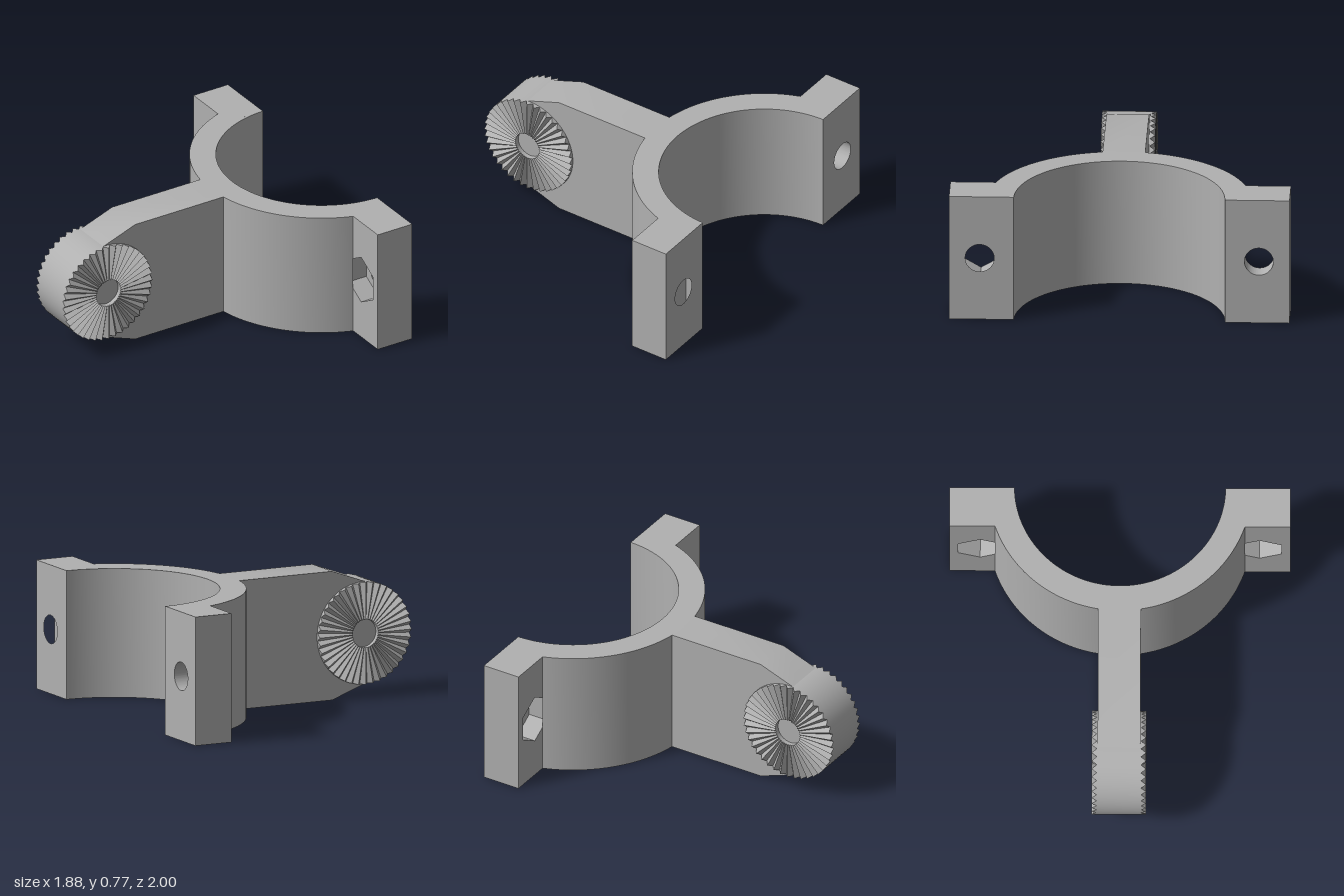
import * as THREE from 'three';
import { toCreasedNormals } from 'three/addons/utils/BufferGeometryUtils.js';

const HEIGHT = 0.77, MID = HEIGHT / 2;
const HUB_X = -0.635, HUB_R = 0.305, HOLE_R = 0.085;

const extrude = (shape, depth) =>
  toCreasedNormals(new THREE.ExtrudeGeometry(shape, { depth, bevelEnabled: false, curveSegments: 48 }), 0.4);

const polygon = (pts) => new THREE.Shape(pts.map(([x, y]) => new THREE.Vector2(x, y)));

const roundHole = (x, y, r) => new THREE.Path().absarc(x, y, r, 0, Math.PI * 2, true);

// Half ring seen from above, including the inner corners beside the flanges
function ringGeometry() {
  const cx = 0.95, rOut = 0.775, rIn = 0.62;
  const a = Math.acos(-0.25 / rOut), b = Math.acos(-0.01 / rIn);
  const s = new THREE.Shape();
  s.absarc(cx, 0, rOut, a, Math.PI * 2 - a, false);
  s.lineTo(0.70, -0.62);
  s.lineTo(0.94, -0.62);
  s.absarc(cx, 0, rIn, Math.PI * 2 - b, b, true);
  s.lineTo(0.70, 0.62);
  return extrude(s, HEIGHT).rotateX(-Math.PI / 2);
}

// Slab of a flange lying across x, with a bolt hole or a hexagonal nut pocket
function flangeGeometry(side, depth, hex) {
  const u = side * 0.82;
  const s = polygon([[side * 0.62, 0], [side, 0], [side, HEIGHT], [side * 0.62, HEIGHT]]);
  if (hex) {
    const pts = [];
    for (let i = 0; i < 6; i++) {
      const t = Math.PI / 2 + (i * Math.PI) / 3;
      pts.push(new THREE.Vector2(u + 0.15 * Math.cos(t), MID + 0.15 * Math.sin(t)));
    }
    s.holes.push(new THREE.Path(pts));
  } else {
    s.holes.push(roundHole(u, MID, HOLE_R));
  }
  return extrude(s, depth).rotateY(Math.PI / 2);
}

// Bored disc with V-shaped radial teeth on both faces
function toothedHubGeometry(teeth) {
  const n = teeth * 2, pos = [];
  const point = (i, r, face) => {
    const t = (i / n) * Math.PI * 2;
    const z = 0.16 - (i % 2 ? 0.03 * r / HUB_R : 0);
    return [r * Math.cos(t), r * Math.sin(t), face * z];
  };
  const quad = (a, b, c, d) => pos.push(...a, ...b, ...c, ...a, ...c, ...d);
  for (let i = 0; i < n; i++) {
    const [i0, i1, o0, o1] = [[i, HOLE_R], [i + 1, HOLE_R], [i, HUB_R], [i + 1, HUB_R]];
    const f = (p) => point(...p, 1), k = (p) => point(...p, -1);
    quad(f(i0), f(o0), f(o1), f(i1)); // front teeth
    quad(k(i0), k(i1), k(o1), k(o0)); // back teeth
    quad(k(o0), k(o1), f(o1), f(o0)); // rim
    quad(f(i0), f(i1), k(i1), k(i0)); // bore
  }
  const g = new THREE.BufferGeometry();
  g.setAttribute('position', new THREE.Float32BufferAttribute(pos, 3));
  return toCreasedNormals(g, 0.4);
}

export function createModel() {
  const model = new THREE.Group();
  model.name = 'toothedClampBracket';
  const grey = new THREE.MeshStandardMaterial({ color: 0xb0b0b0 });
  grey.name = 'grey';

  const add = (name, geometry, x = 0, y = 0, z = 0, parent = model) => {
    const mesh = new THREE.Mesh(geometry, grey);
    mesh.name = name;
    mesh.position.set(x, y, z);
    parent.add(mesh);
    return mesh;
  };

  add('halfRing', ringGeometry());

  // Flanges: nut pocket behind, bolt hole in the mating face
  for (const [name, side] of [['backFlange', 1], ['frontFlange', -1]]) {
    const flange = new THREE.Group();
    flange.name = name;
    add('nutPocket', flangeGeometry(side, 0.12, true), 0.70, 0, 0, flange);
    add('boltPlate', flangeGeometry(side, 0.12, false), 0.82, 0, 0, flange);
    model.add(flange);
  }

  // Arm tapering into the hub, opened where the hub passes through
  const arm = polygon([[0.22, 0], [0.22, HEIGHT], [-0.43, HEIGHT], [-0.72, 0.665], [-0.72, 0.105], [-0.43, 0]]);
  arm.holes.push(roundHole(HUB_X, MID, 0.2));
  add('arm', extrude(arm, 0.25), 0, 0, -0.125);

  add('toothedHub', toothedHubGeometry(40), HUB_X, MID, 0);

  return model;
}
